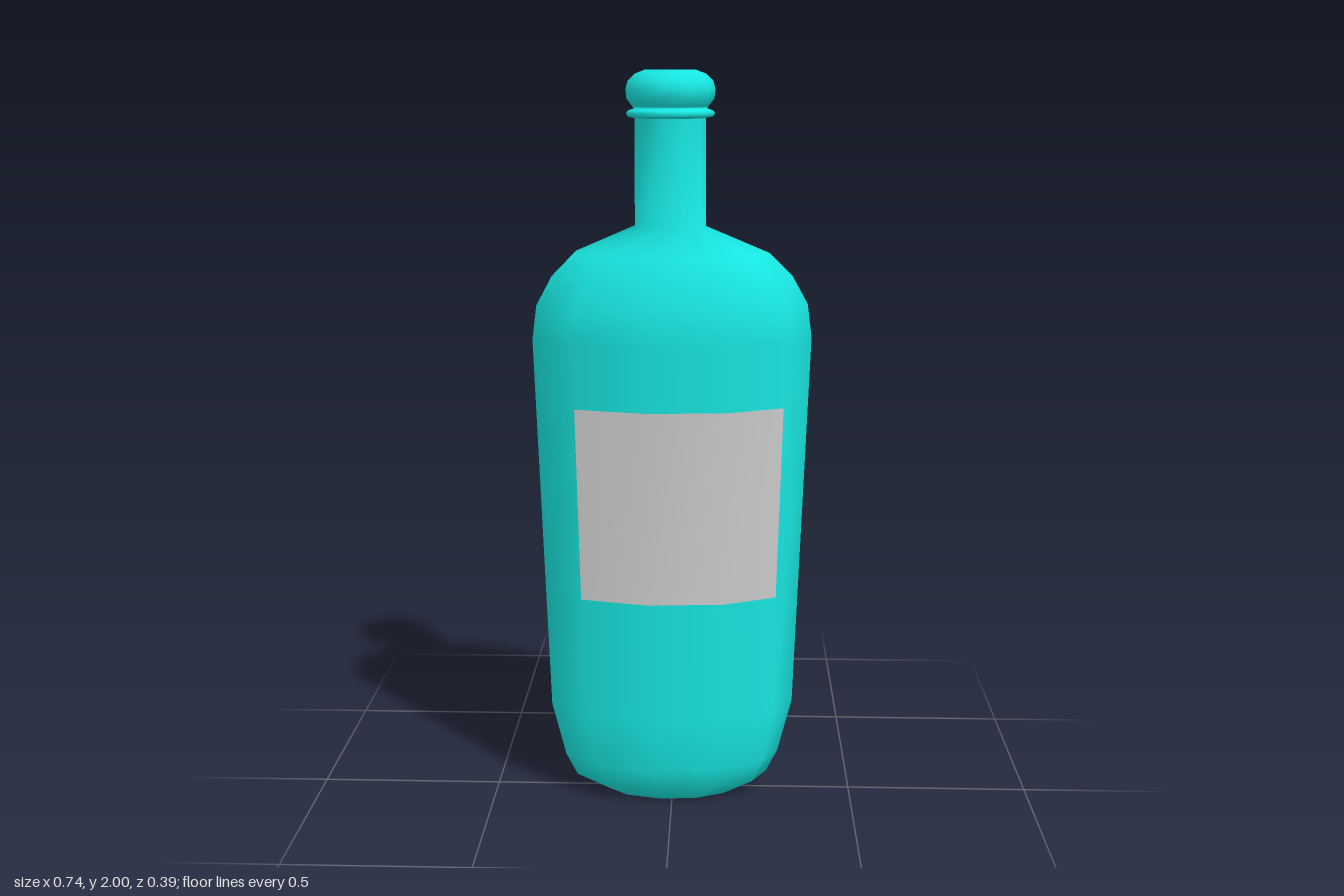
import * as THREE from 'three';

const SIDES = 11;
const CENTER_X = -0.008;

// Point on an eleven-sided oval; fractional k lies on the straight chord between corners
function ovalPoint([y, rx, rz], k) {
  const corner = (i) => {
    const t = ((i % SIDES) / SIDES) * Math.PI * 2;
    return new THREE.Vector3(CENTER_X + Math.cos(t) * rx, y, Math.sin(t) * rz);
  };
  const i = Math.floor(k);
  return corner(i).lerp(corner(i + 1), k - i);
}

// Skin a stack of ovals [y, rx, rz], listed from bottom to top
function loft(rings, ks, closed) {
  const positions = [];
  const index = [];
  const n = ks.length;
  for (const ring of rings) for (const k of ks) positions.push(...ovalPoint(ring, k).toArray());
  for (let i = 0; i < rings.length - 1; i++) {
    for (let j = 0; j < (closed ? n : n - 1); j++) {
      const a = i * n + j;
      const b = i * n + ((j + 1) % n);
      index.push(a, a + n, b, b, a + n, b + n);
    }
  }
  const geometry = new THREE.BufferGeometry();
  geometry.setAttribute('position', new THREE.Float32BufferAttribute(positions, 3));
  geometry.setIndex(index);
  geometry.computeVertexNormals();
  return geometry;
}

export function createModel() {
  const group = new THREE.Group();
  group.name = 'bottle';
  const glass = new THREE.MeshStandardMaterial({ color: 0x18e6e0 });
  const paper = new THREE.MeshStandardMaterial({ color: 0xcccccc, side: THREE.DoubleSide });
  const allSides = Array.from({ length: SIDES }, (_, i) => i);
  const add = (name, geometry, material) => {
    const mesh = new THREE.Mesh(geometry, material);
    mesh.name = name;
    group.add(mesh);
  };

  // Flattened body with rounded base and shoulders, running into the round neck
  const body = [
    [0.005, 0, 0], [0.005, 0.182, 0.092], [0.053, 0.273, 0.138], [0.117, 0.305, 0.157],
    [0.27, 0.343, 0.177], [1.305, 0.378, 0.199], [1.395, 0.366, 0.189], [1.47, 0.324, 0.163],
    [1.53, 0.262, 0.137], [1.6, 0.095, 0.093], [1.88, 0.094, 0.094],
  ];
  add('body', loft(body, allSides, true), glass);

  // Thin collar, rounded lip and recessed mouth
  const lip = [
    [1.878, 0.094], [1.882, 0.112], [1.89, 0.117], [1.897, 0.112], [1.903, 0.096],
    [1.908, 0.1], [1.927, 0.115], [1.95, 0.118], [1.972, 0.112], [1.99, 0.093],
    [2.0, 0.066], [1.995, 0.056], [1.96, 0.053], [1.96, 0],
  ].map(([y, r]) => [y, r, r]);
  add('lip', loft(lip, allSides, true), glass);

  // Label wrapped over the front faces
  const label = [[0.61, 0.359, 0.188], [1.135, 0.375, 0.197]];
  add('label', loft(label, [1.08, 2, 3, 4], false), paper);

  return group;
}
